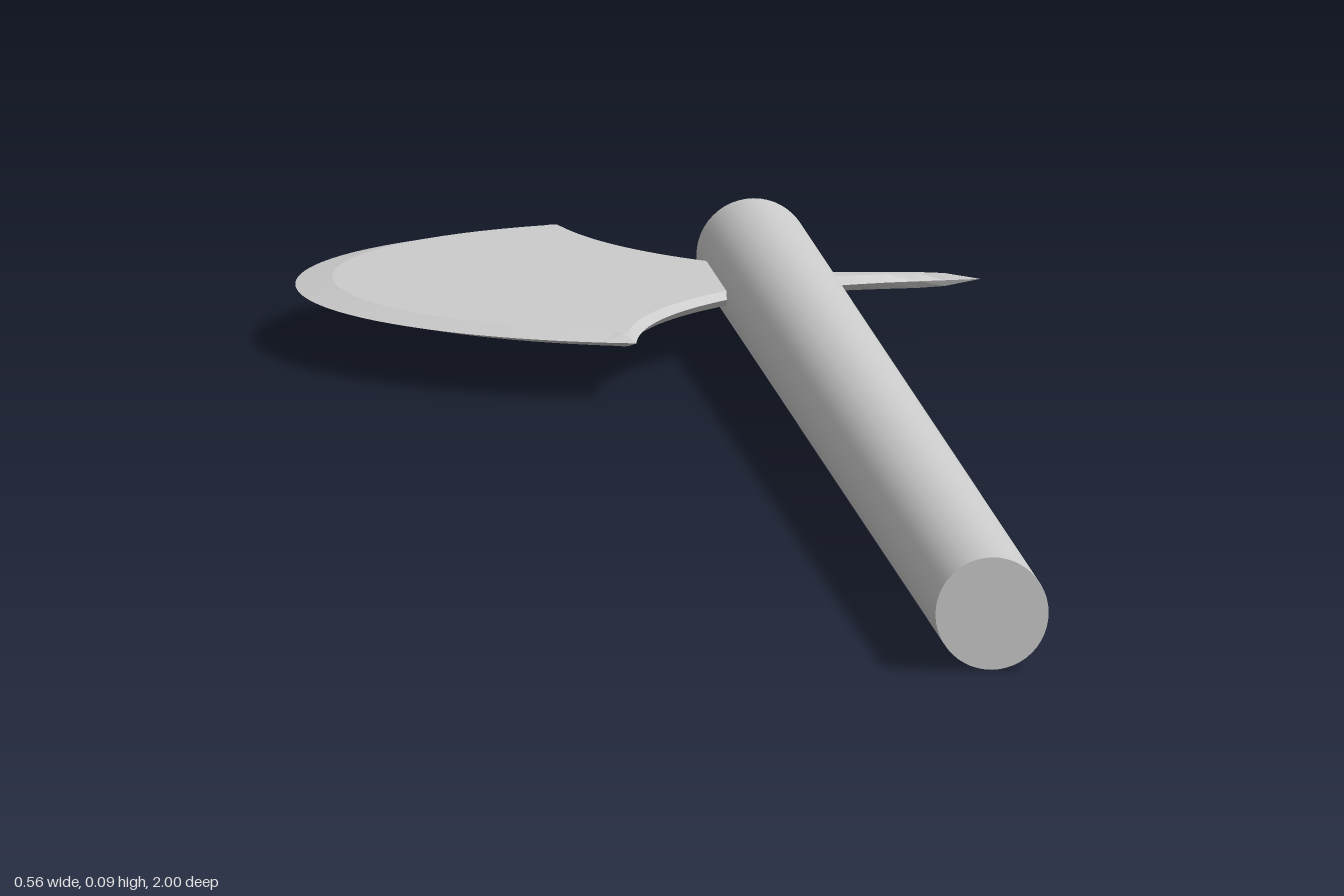
import * as THREE from 'three';

const MID = 0.047;   // height of the blade plane
const HALF = 0.006;  // half thickness of blade and spike
const HEAD_Z = -0.7; // position of the head along the shaft

// Flat-shaded skin over a row of closed cross-sections
function loft(sections) {
  const pos = [];
  for (let i = 0; i < sections.length - 1; i++) {
    const p = sections[i], q = sections[i + 1], n = p.length;
    for (let j = 0; j < n; j++) {
      const k = (j + 1) % n;
      pos.push(...p[j], ...q[j], ...p[k], ...p[k], ...q[j], ...q[k]);
    }
  }
  const g = new THREE.BufferGeometry();
  g.setAttribute('position', new THREE.Float32BufferAttribute(pos, 3));
  g.computeVertexNormals();
  return g;
}

// Crescent blade: convex cutting arc outside, concave shoulders running into the shaft
function bladeGeometry() {
  const R = 0.306, cx = 0.028, sweep = 1.367, steps = 64, neck = 0.25;
  const shoulder = new THREE.QuadraticBezierCurve(
    new THREE.Vector2(cx - R * Math.cos(sweep), R * Math.sin(sweep)),
    new THREE.Vector2(-0.015, 0.145),
    new THREE.Vector2(0.1, 0.05));
  const sections = [];
  for (let i = 0; i <= steps; i++) {
    const t = (i / steps) * 2 - 1, v = Math.abs(t);
    const outer = new THREE.Vector2(cx - R * Math.cos(t * sweep), R * Math.sin(t * sweep));
    const inner = v > neck
      ? shoulder.getPoint((1 - v) / (1 - neck))
      : new THREE.Vector2(0.1, 0.05 * v / neck);
    if (v <= neck || t > 0) inner.y = Math.abs(inner.y);
    if (t < 0) inner.y = -inner.y;
    const d = outer.distanceTo(inner);
    const dir = inner.clone().sub(outer).normalize();
    // Bevels narrow and the plate thins towards the horn tips
    const a = outer.clone().addScaledVector(dir, Math.min(0.03, d * 0.6));
    const b = inner.clone().addScaledVector(dir, -Math.min(0.01, d * 0.25));
    const h = HALF * Math.min(1, d / 0.04);
    const at = (p, y) => [p.x, MID + y, HEAD_Z + p.y];
    sections.push([at(outer, 0), at(a, h), at(b, h), at(inner, 0), at(b, -h), at(a, -h)]);
  }
  return loft(sections);
}

// Back spike: [x, half width, half height], narrowing in a concave curve to a point
function spikeGeometry() {
  const stations = [
    [0.12, 0.036, HALF], [0.15, 0.025, HALF], [0.175, 0.017, HALF], [0.2, 0.011, HALF],
    [0.225, 0.007, HALF], [0.248, 0.004, 0.005], [0.277, 0, 0],
  ];
  return loft(stations.map(([x, w, h]) =>
    [[w, 0], [w / 2, h], [-w / 2, h], [-w, 0], [-w / 2, -h], [w / 2, -h]]
      .map(([z, y]) => [x, MID + y, HEAD_Z + z])));
}

export function createModel() {
  const group = new THREE.Group();
  group.name = 'battleAxe';
  const smooth = new THREE.MeshStandardMaterial({ color: 0xcccccc });
  const flat = new THREE.MeshStandardMaterial({ color: 0xcccccc, flatShading: true });
  const add = (name, geometry, material) => {
    const mesh = new THREE.Mesh(geometry, material);
    mesh.name = name;
    group.add(mesh);
    return mesh;
  };

  // Round shaft lying along z
  const shaft = add('shaft', new THREE.CylinderGeometry(0.046, 0.046, 1.85, 48), smooth);
  shaft.rotation.x = Math.PI / 2;
  shaft.position.set(0.108, 0.046, 0.075);

  add('blade', bladeGeometry(), flat);
  add('backSpike', spikeGeometry(), flat);
  return group;
}
